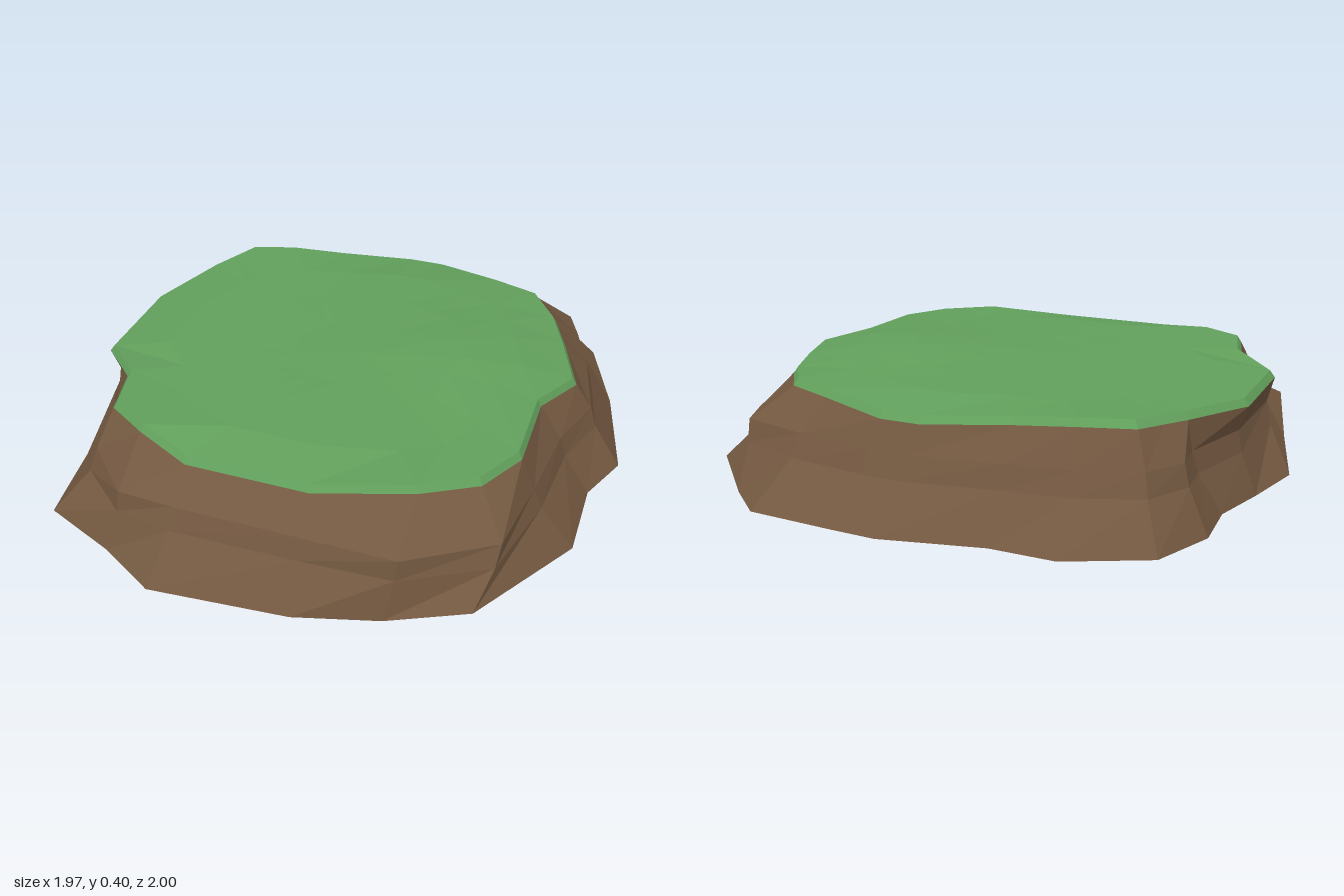
import * as THREE from 'three';

// Outlines run clockwise seen from above, starting at the back.
// Turf rim: x, z, height of its upper edge
const RIM = [
  -0.02, -0.80, 0.345, 0.12, -0.80, 0.345, 0.37, -0.72, 0.36, 0.54, -0.66, 0.365,
  0.64, -0.52, 0.36, 0.71, -0.35, 0.36, 0.79, -0.13, 0.355, 0.70, 0.06, 0.37,
  0.70, 0.36, 0.365, 0.61, 0.53, 0.365, 0.43, 0.64, 0.37, 0.10, 0.72, 0.345,
  -0.33, 0.72, 0.345, -0.53, 0.64, 0.37, -0.68, 0.55, 0.37, -0.73, 0.36, 0.365,
  -0.89, 0.20, 0.34, -0.89, -0.18, 0.34, -0.77, -0.46, 0.36, -0.72, -0.55, 0.365,
  -0.67, -0.64, 0.37, -0.51, -0.69, 0.37, -0.30, -0.73, 0.36,
];
// Ledge halfway up the rock: x, z
const LEDGE = [
  0, -0.84, 0.14, -0.84, 0.42, -0.80, 0.67, -0.74, 0.72, -0.62, 0.79, -0.42,
  0.85, -0.15, 0.78, 0.06, 0.75, 0.36, 0.71, 0.65, 0.43, 0.83, 0.10, 0.83,
  -0.33, 0.83, -0.53, 0.82, -0.71, 0.64, -0.77, 0.38, -0.87, 0.18, -0.86, -0.18,
  -0.78, -0.44, -0.79, -0.55, -0.71, -0.68, -0.52, -0.75, -0.30, -0.79,
];
// Widest outline near the ground: x, z
const FOOT = [
  0.03, -1, 0.20, -0.995, 0.50, -0.98, 0.64, -0.86, 0.78, -0.74, 0.89, -0.52,
  0.98, -0.13, 0.90, 0.06, 0.90, 0.36, 0.67, 0.82, 0.40, 0.88, 0.12, 0.96,
  -0.36, 1, -0.57, 0.88, -0.79, 0.83, -0.89, 0.45, -0.99, 0.06, -0.93, -0.18,
  -0.87, -0.38, -0.88, -0.58, -0.79, -0.79, -0.53, -0.92, -0.31, -0.92,
];
const COUNT = RIM.length / 3;
// Corners whose foot is lifted off the ground, with the undercut point below
const UNDERCUT = { 4: [0.70, -0.75], 9: [0.65, 0.62], 14: [-0.75, 0.52] };

const ring = (fn) => Array.from({ length: COUNT }, (_, i) => new THREE.Vector3(...fn(i)));

// Joins rings, listed from the bottom up, into a faceted skin
function skin(name, rings, color) {
  const pos = [];
  const tri = (a, b, c) => {
    if (a.equals(b) || b.equals(c) || a.equals(c)) return;
    for (const p of [a, b, c]) pos.push(p.x, p.y, p.z);
  };
  for (let r = 0; r < rings.length - 1; r++) {
    const a = rings[r], b = rings[r + 1];
    for (let i = 0; i < COUNT; i++) {
      const j = (i + 1) % COUNT;
      tri(a[j], a[i], b[i]);
      tri(a[j], b[i], b[j]);
    }
  }
  const geometry = new THREE.BufferGeometry();
  geometry.setAttribute('position', new THREE.Float32BufferAttribute(pos, 3));
  geometry.computeVertexNormals();
  const mesh = new THREE.Mesh(geometry, new THREE.MeshStandardMaterial({ color, flatShading: true }));
  mesh.name = name;
  return mesh;
}

// Gentle mound of the turf, highest right of the middle
const mound = (x, z) =>
  0.368 + 0.032 * Math.exp(-((x - 0.42) ** 2 + (z + 0.13) ** 2) / 0.09);

export function createModel() {
  const group = new THREE.Group();
  group.name = 'grassyRock';

  // Rock: underside, lifted corners, ledge and slope up to the turf
  const ground = ring((i) => {
    const [x, z] = UNDERCUT[i] ?? [FOOT[2 * i], FOOT[2 * i + 1]];
    return [x, 0.012, z];
  });
  const foot = ring((i) => [FOOT[2 * i], UNDERCUT[i] ? 0.08 : 0.012, FOOT[2 * i + 1]]);
  const ledge = ring((i) => [LEDGE[2 * i], 0.23, LEDGE[2 * i + 1]]);
  const lowerLedge = ring((i) => {
    const p = ledge[i].clone().lerp(foot[i], 0.2);
    return [p.x, 0.155, p.z];
  });
  const turfBottom = ring((i) => [RIM[3 * i], RIM[3 * i + 2] - 0.025, RIM[3 * i + 1]]);
  const underside = ring(() => [0, 0, 0]);
  group.add(skin('rock', [underside, ground, foot, lowerLedge, ledge, turfBottom], 0x735840));

  // Turf: thin edge band, then rings rising over the mound to the middle
  const turfTop = ring((i) => [RIM[3 * i] * 0.98, RIM[3 * i + 2], RIM[3 * i + 1] * 0.98]);
  const inner = [0.75, 0.5, 0.25, 0].map((s) => ring((i) => {
    const x = RIM[3 * i] * s, z = RIM[3 * i + 1] * s;
    return [x, mound(x, z), z];
  }));
  group.add(skin('turf', [turfBottom, turfTop, ...inner], 0x62a05c));

  return group;
}
